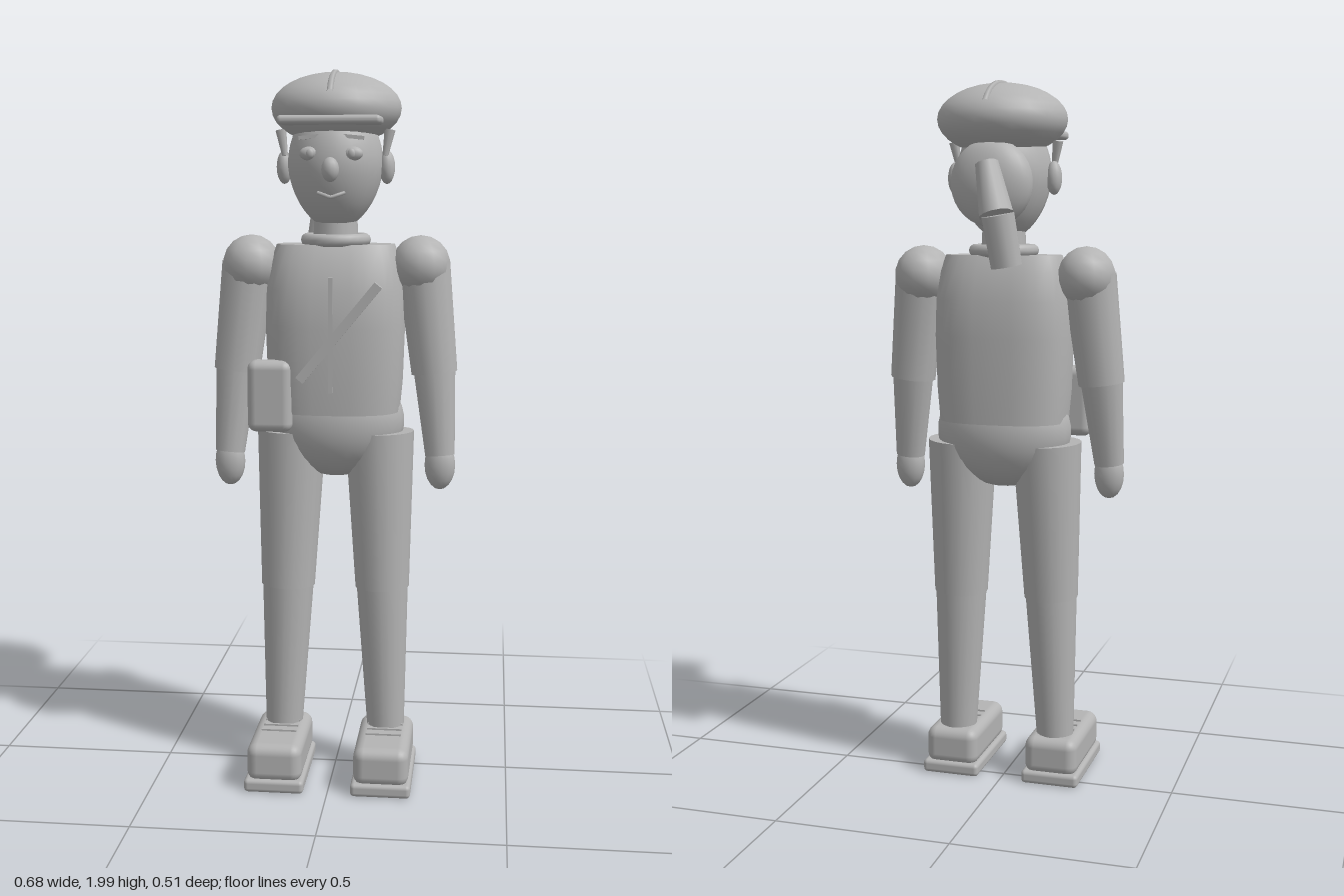
import * as THREE from 'three';
import { RoundedBoxGeometry } from 'three/addons/geometries/RoundedBoxGeometry.js';

const grey = new THREE.MeshStandardMaterial({ color: 0xb4b4b4 });
grey.name = 'plain grey';

const V = (x, y, z) => new THREE.Vector3(x, y, z);

// Stack of superellipse rings [y, halfWidth, halfDepth, centreZ], capped at both ends
function loft(rings, n = 32, power = 2.6) {
  const pos = [], idx = [];
  const ring = ([y, rx, rz, cz]) => {
    for (let i = 0; i < n; i++) {
      const a = (i / n) * Math.PI * 2, s = Math.sin(a), c = Math.cos(a);
      pos.push(rx * Math.sign(s) * Math.abs(s) ** (2 / power), y,
        cz + rz * Math.sign(c) * Math.abs(c) ** (2 / power));
    }
  };
  rings.forEach(ring);
  for (let r = 0; r < rings.length - 1; r++) {
    for (let i = 0; i < n; i++) {
      const a = r * n + i, b = r * n + (i + 1) % n;
      idx.push(a, b, b + n, a, b + n, a + n);
    }
  }
  [[rings[0], false], [rings[rings.length - 1], true]].forEach(([data, top]) => {
    const start = pos.length / 3;
    ring(data);
    pos.push(0, data[0], data[3]);
    for (let i = 0; i < n; i++) {
      const a = start + i, b = start + (i + 1) % n;
      idx.push(...(top ? [a, b, start + n] : [b, a, start + n]));
    }
  });
  const g = new THREE.BufferGeometry();
  g.setAttribute('position', new THREE.Float32BufferAttribute(pos, 3));
  g.setIndex(idx);
  g.computeVertexNormals();
  return g;
}

export function createModel() {
  const model = new THREE.Group();

  const add = (name, geometry, p = [0, 0, 0]) => {
    const m = new THREE.Mesh(geometry, grey);
    m.name = name;
    m.position.set(...p);
    model.add(m);
    return m;
  };
  const ball = (name, p, r, seg = 24) => {
    const m = add(name, new THREE.SphereGeometry(1, seg, Math.ceil(seg * 0.7)), p);
    m.scale.set(...r);
    return m;
  };
  const box = (name, p, s, radius = 0) => add(name, radius
    ? new RoundedBoxGeometry(...s, 3, radius) : new THREE.BoxGeometry(...s), p);
  // Tapered limb running from a (radius ra) to b (radius rb)
  const limb = (name, a, b, ra, rb, seg = 16, flat = 1) => {
    const from = V(...a), to = V(...b), dir = from.clone().sub(to);
    const m = add(name, new THREE.CylinderGeometry(ra, rb, dir.length(), seg),
      from.clone().add(to).multiplyScalar(0.5).toArray());
    m.quaternion.setFromUnitVectors(V(0, 1, 0), dir.normalize());
    m.scale.z = flat;
    return m;
  };

  // Torso, hips and neck
  add('torso', loft([
    [1.06, 0.182, 0.125, 0.005], [1.15, 0.19, 0.13, 0.006], [1.3, 0.195, 0.132, 0.006],
    [1.4, 0.192, 0.126, 0.004], [1.48, 0.18, 0.105, 0.002], [1.525, 0.165, 0.08, 0],
  ]));
  ball('hips', [0, 1.03, 0.003], [0.195, 0.16, 0.125]);
  limb('neck', [0, 1.6, 0], [0, 1.5, 0], 0.06, 0.065);
  add('collar', new THREE.TorusGeometry(0.08, 0.018, 10, 24), [0, 1.537, 0]).rotation.x = Math.PI / 2;

  // Jacket front, strap and pouch
  box('zipper', [0, 1.283, 0.135], [0.012, 0.315, 0.018]);
  box('strap', [0.022, 1.29, 0.135], [0.026, 0.34, 0.018]).rotation.z = -0.69;
  box('pouch', [-0.172, 1.11, 0.1], [0.125, 0.2, 0.07], 0.025);

  // Head with a chin narrower than the crown
  const skull = new THREE.SphereGeometry(1, 28, 20);
  const sp = skull.attributes.position;
  for (let i = 0; i < sp.count; i++) {
    const y = sp.getY(i), k = y < 0 ? 1 + 0.1 * y : 1;
    sp.setXYZ(i, sp.getX(i) * 0.132 * k, y * 0.175, sp.getZ(i) * 0.135 * k);
  }
  skull.computeVertexNormals();
  add('head', skull, [0, 1.74, 0.005]);
  ball('nose', [0, 1.728, 0.143], [0.024, 0.033, 0.024], 14);
  add('mouth', new THREE.TubeGeometry(new THREE.CatmullRomCurve3([
    V(-0.037, 1.667, 0.117), V(-0.016, 1.66, 0.126), V(0, 1.655, 0.129),
    V(0.016, 1.66, 0.126), V(0.037, 1.667, 0.117),
  ]), 12, 0.005, 6));

  // Hair and ponytail
  ball('backHair', [0, 1.72, -0.115], [0.115, 0.118, 0.062]);
  limb('ponytailUpper', [-0.005, 1.77, -0.175], [-0.042, 1.635, -0.21], 0.032, 0.047, 12);
  limb('ponytailLower', [-0.045, 1.635, -0.206], [-0.065, 1.5, -0.192], 0.045, 0.043, 12);

  // Cap with a centre seam and a peak
  ball('cap', [0, 1.893, -0.013], [0.18, 0.098, 0.177], 22);
  const arc = [];
  for (let i = 0; i <= 8; i++) {
    const a = 0.4 + (i / 8) * (Math.PI - 0.8);
    arc.push(V(0, 1.893 + Math.sin(a) * 0.096, -0.013 + Math.cos(a) * 0.175));
  }
  add('capSeam', new THREE.TubeGeometry(new THREE.CatmullRomCurve3(arc), 24, 0.009, 6));
  box('capPeak', [0, 1.857, 0.135], [0.276, 0.024, 0.112], 0.011);

  // Paired parts
  for (const s of [1, -1]) {
    const side = s > 0 ? 'left' : 'right';

    // Face
    ball(side + 'Eye', [s * 0.058, 1.77, 0.118], [0.028, 0.019, 0.016], 16);
    ball(side + 'Pupil', [s * 0.056, 1.77, 0.13], [0.011, 0.013, 0.007], 12);
    box(side + 'Brow', [s * 0.058, 1.814, 0.113], [0.06, 0.01, 0.012]).rotation.z = -s * 0.1;
    ball(side + 'Ear', [s * 0.142, 1.735, 0.006], [0.022, 0.046, 0.026], 14);
    limb(side + 'HairWisp', [s * 0.15, 1.835, 0.016], [s * 0.138, 1.765, 0.022], 0.015, 0.008, 8);

    // Arm
    ball(side + 'Shoulder', [s * 0.237, 1.468, 0], [0.082, 0.082, 0.09], 12);
    limb(side + 'UpperArm', [s * 0.245, 1.47, 0.002], [s * 0.279, 1.17, 0.016], 0.075, 0.065, 14, 0.9);
    limb(side + 'Forearm', [s * 0.278, 1.19, 0.015], [s * 0.298, 0.94, 0.04], 0.06, 0.042, 14, 0.85);
    ball(side + 'Hand', [s * 0.298, 0.912, 0.04], [0.043, 0.07, 0.036], 14);

    // Leg
    limb(side + 'Thigh', [s * 0.125, 1, 0.006], [s * 0.136, 0.55, 0.02], 0.098, 0.077, 20);
    limb(side + 'Shin', [s * 0.136, 0.56, 0.02], [s * 0.149, 0.12, 0.027], 0.074, 0.053, 20);

    // Shoe
    box(side + 'Sole', [s * 0.15, 0.022, 0.1], [0.168, 0.038, 0.31], 0.012);
    box(side + 'Shoe', [s * 0.15, 0.085, 0.1], [0.155, 0.11, 0.3], 0.03);
    for (const z of [0.05, 0.09, 0.13]) {
      box(side + 'Lace', [s * 0.15, 0.141, z], [0.1, 0.008, 0.008]);
    }
  }
  return model;
}
